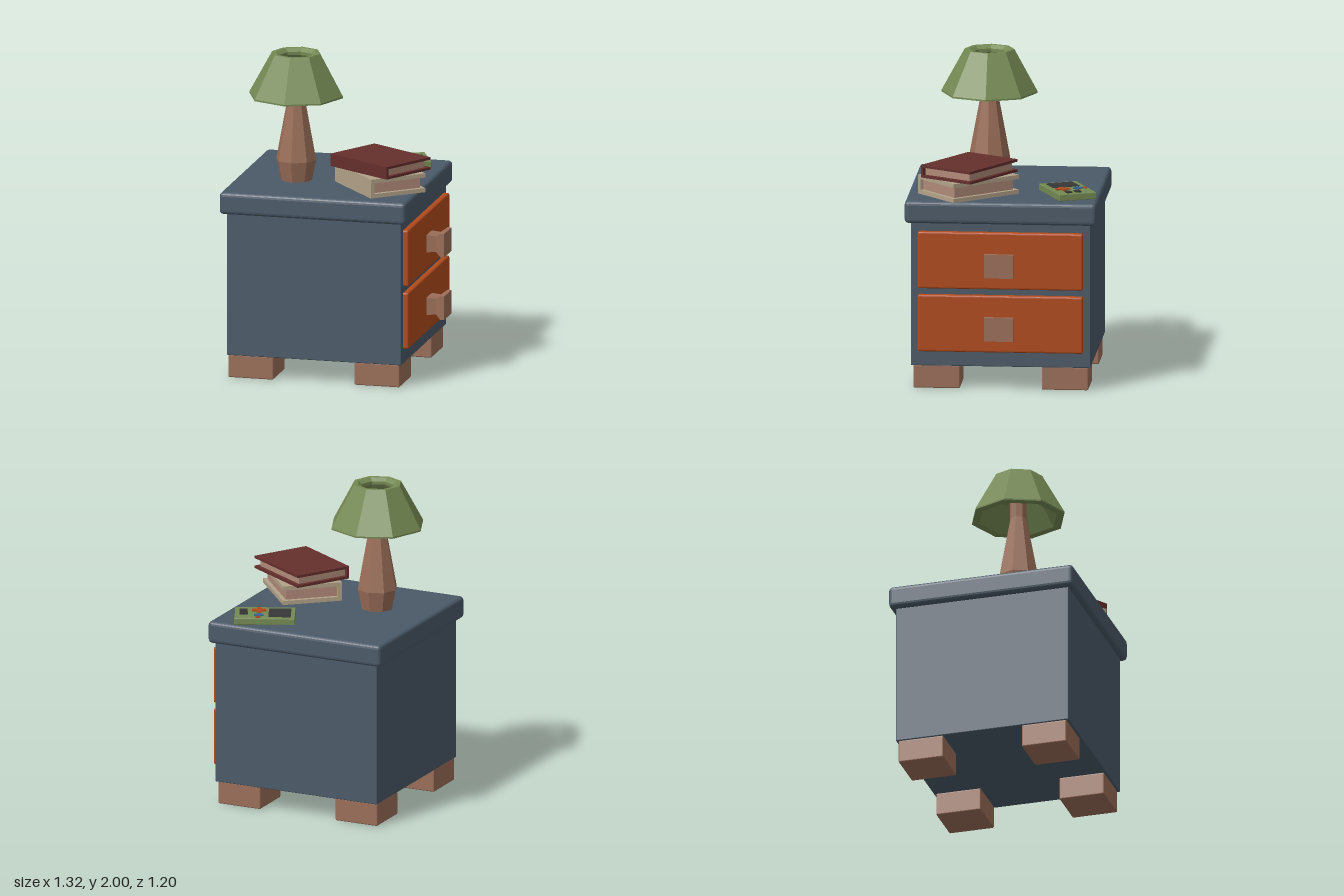
import * as THREE from 'three';
import { RoundedBoxGeometry } from 'three/addons/geometries/RoundedBoxGeometry.js';

const paint = (color) => new THREE.MeshStandardMaterial({ color, flatShading: true });
const slate = paint(0x4b5a68), orange = paint(0xb04a1c), wood = paint(0x9a6e58);
const green = paint(0x758a54), maroon = paint(0x642f2c), tan = paint(0xb3a289);
const paper = paint(0xb08a78), dark = paint(0x383838), blue = paint(0x3f6a9a);

function add(parent, name, geometry, material, x = 0, y = 0, z = 0) {
  const mesh = new THREE.Mesh(geometry, material);
  mesh.name = name;
  mesh.position.set(x, y, z);
  parent.add(mesh);
  return mesh;
}

function group(parent, name, x, y, z, turn = 0) {
  const g = new THREE.Group();
  g.name = name;
  g.position.set(x, y, z);
  g.rotation.y = turn;
  parent.add(g);
  return g;
}

const box = (w, h, d) => new THREE.BoxGeometry(w, h, d);
const softBox = (w, h, d, r) => new RoundedBoxGeometry(w, h, d, 2, r);
const lathe = (points, sides, start = 0) =>
  new THREE.LatheGeometry(points.map(([r, y]) => new THREE.Vector2(r, y)), sides, start);

// Book: two covers, a spine on the +z side and an inset block of pages
function addBook(parent, name, y, z, h, cover, coverThickness, turn) {
  const L = 0.5, W = 0.378, t = coverThickness;
  const book = group(parent, name, 0.278, y, z, turn);
  for (const cy of [t / 2, h - t / 2]) add(book, 'cover', box(L, t, W), cover, 0, cy, 0);
  add(book, 'spine', box(L, h - 2 * t, t), cover, 0, h / 2, W / 2 - t / 2);
  add(book, 'pages', box(L - 0.05, h - 2 * t, W - 0.025 - t), paper, 0, h / 2, 0.0125 - t / 2);
}

export function createModel() {
  const model = new THREE.Group();
  model.name = 'bedsideTable';

  // Cabinet
  add(model, 'body', softBox(1.12, 0.91, 1.12, 0.006), slate, -0.06, 0.6, 0);
  add(model, 'tableTop', softBox(1.195, 0.14, 1.195, 0.025), slate, -0.0625, 1.12, 0);
  for (const x of [-0.47, 0.34])
    for (const z of [-0.4, 0.4])
      add(model, 'foot', softBox(0.29, 0.148, 0.29, 0.008), wood, x, 0.074, z);

  // Drawers with square flared knobs
  const knobShape = [[0, 0], [0.055, 0], [0.05, 0.06], [0.075, 0.095], [0.075, 0.12], [0, 0.12]]
    .map(([r, y]) => [r * Math.SQRT2, y]);
  const knob = lathe(knobShape, 4, Math.PI / 4);
  knob.rotateZ(-Math.PI / 2);
  knob.scale(1, 1, 1.22);
  for (const y of [0.42, 0.82]) {
    const drawer = group(model, 'drawer', 0.5, y, 0);
    add(drawer, 'drawerFront', softBox(0.07, 0.36, 1.03, 0.012), orange, 0, 0, 0);
    add(drawer, 'knob', knob, wood, 0.035, -0.01, 0);
  }

  // Lamp
  const lamp = group(model, 'lamp', -0.283, 1.19, 0.133);
  add(lamp, 'lampBase', lathe([[0, 0], [0.1, 0], [0.128, 0.13], [0.102, 0.27], [0.053, 0.53],
    [0.053, 0.66], [0.06, 0.67], [0.06, 0.71], [0.035, 0.735], [0, 0.735]], 8), wood);
  add(lamp, 'shade', lathe([[0.3, 0.535], [0.3, 0.545], [0.155, 0.81], [0.13, 0.81], [0.105, 0.79],
    [0.105, 0.77], [0.25, 0.535], [0.3, 0.535]], 8), green);
  for (let i = 0; i < 3; i++) {
    const spoke = group(lamp, 'shadeSupport', 0, 0.69, 0, Math.PI / 3 + i * Math.PI * 2 / 3);
    add(spoke, 'spoke', box(0.11, 0.015, 0.055), green, 0.09, 0, 0);
  }

  // Stacked books
  addBook(model, 'lowerBook', 1.195, 0.219, 0.12, tan, 0.026, -0.86);
  addBook(model, 'upperBook', 1.315, 0.213, 0.08, maroon, 0.016, -0.55);

  // Handheld game with raised controls
  const game = group(model, 'handheldGame', 0.234, 1.19, -0.397, 0.428);
  add(game, 'case', softBox(0.376, 0.042, 0.245, 0.004), green, 0, 0.021, 0);
  const control = (name, w, d, mat, x, z, h = 0.008) =>
    add(game, name, box(w, h, d), mat, x, 0.042 + h / 2, z);
  control('screen', 0.139, 0.177, dark, -0.0926, 0, 0.003);
  control('padBar', 0.09, 0.03, orange, 0.0375, 0.047);
  for (const s of [-1, 1]) control('padArm', 0.03, 0.03, orange, 0.0375, 0.047 + s * 0.03);
  for (let i = 0; i < 4; i++) {
    const a = i * Math.PI / 2;
    control('smallButton', 0.02, 0.02, blue, 0.037 + 0.02 * Math.cos(a), -0.054 + 0.02 * Math.sin(a));
  }
  control('powerButton', 0.03, 0.015, orange, 0.042, -0.099);
  control('upperButton', 0.05, 0.034, dark, 0.1315, -0.016);
  control('lowerButton', 0.05, 0.034, dark, 0.135, 0.044);

  return model;
}
